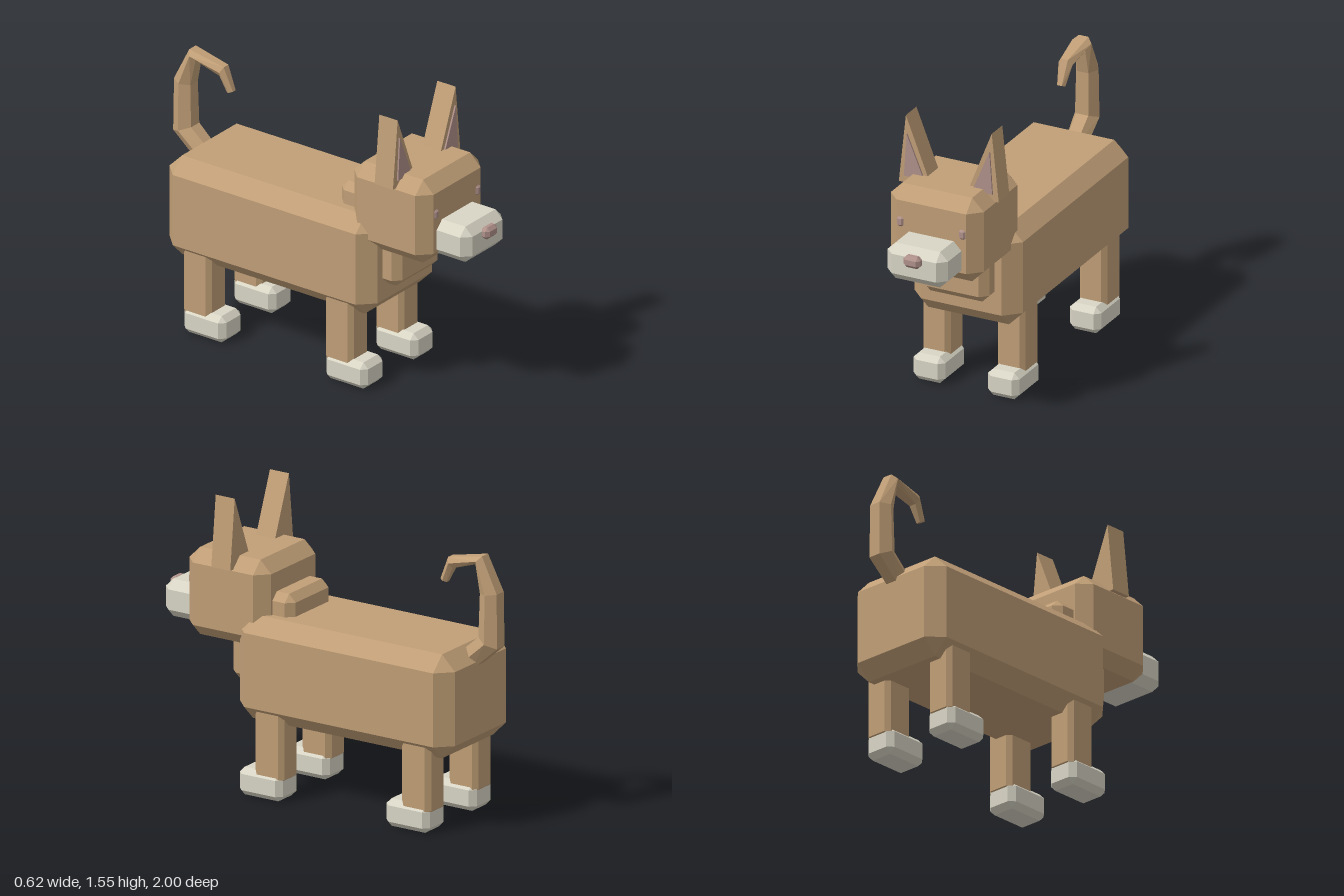
import * as THREE from 'three';
import { ConvexGeometry } from 'three/addons/geometries/ConvexGeometry.js';

const material = (name, color) => {
  const m = new THREE.MeshStandardMaterial({ color });
  m.name = name;
  return m;
};

// Box given by its limits, with every edge and corner cut off by c.
function chamferBox([x0, x1], [y0, y1], [z0, z1], c) {
  const points = [];
  for (const [x, sx] of [[x0, 1], [x1, -1]])
    for (const [y, sy] of [[y0, 1], [y1, -1]])
      for (const [z, sz] of [[z0, 1], [z1, -1]])
        points.push(
          new THREE.Vector3(x, y + sy * c, z + sz * c),
          new THREE.Vector3(x + sx * c, y, z + sz * c),
          new THREE.Vector3(x + sx * c, y + sy * c, z));
  return new ConvexGeometry(points);
}

// Triangular plate in the xy plane, from z0 to z1.
function triangle(corners, z0, z1) {
  const shape = new THREE.Shape(corners.map(([x, y]) => new THREE.Vector2(x, y)));
  return new THREE.ExtrudeGeometry(shape, { depth: z1 - z0, bevelEnabled: false }).translate(0, 0, z0);
}

export function createModel() {
  const fur = material('fur', 0xc19f77);
  const cream = material('cream', 0xd9d6c6);
  const pink = material('pink', 0xb0918a);

  const model = new THREE.Group();
  model.name = 'dog';
  const add = (name, geometry, mat) => {
    const mesh = new THREE.Mesh(geometry, mat);
    mesh.name = name;
    model.add(mesh);
  };

  // Trunk, neck and head
  add('body', chamferBox([-0.31, 0.31], [0.4, 0.955], [-0.875, 0.44], 0.08), fur);
  add('neck', chamferBox([-0.188, 0.188], [0.565, 1.07], [0.155, 0.535], 0.04), fur);
  add('head', chamferBox([-0.265, 0.265], [0.775, 1.24], [0.27, 0.77], 0.066), fur);
  add('muzzle', chamferBox([-0.172, 0.172], [0.812, 1.01], [0.66, 0.962], 0.045), cream);
  add('nose', chamferBox([-0.048, 0.048], [0.92, 0.985], [0.945, 1], 0.018), pink);

  for (const [s, side] of [[1, 'left'], [-1, 'right']]) {
    const mirror = (a, b) => (s > 0 ? [a, b] : [-b, -a]);

    add(side + 'Eye', chamferBox(mirror(0.158, 0.196), [1.03, 1.083], [0.745, 0.78], 0.01), pink);

    // Ears with thin inner plates
    add(side + 'Ear', triangle([[s * 0.285, 1.18], [s * 0.245, 1.555], [s * 0.097, 1.18]], 0.462, 0.578), fur);
    add(side + 'InnerEar', triangle([[s * 0.252, 1.22], [s * 0.236, 1.455], [s * 0.138, 1.22]], 0.578, 0.587), pink);

    // Legs and paws; z is the heel of each paw
    for (const [z, end] of [[0.147, 'Front'], [-0.75, 'Back']]) {
      add(side + end + 'Leg', chamferBox(mirror(0.135, 0.292), [0.095, 0.55], [z - 0.005, z + 0.173], 0.024), fur);
      add(side + end + 'Paw', chamferBox(mirror(0.122, 0.302), [0, 0.147], [z, z + 0.265], 0.03), cream);
    }
  }

  // Curled six-sided tail: outer z, outer y, inner z, inner y, half width
  const rings = [
    [-0.84, 0.825, -0.76, 0.9, 0.062],
    [-0.998, 0.965, -0.885, 1.01, 0.07],
    [-0.995, 1.255, -0.892, 1.243, 0.064],
    [-0.902, 1.442, -0.862, 1.392, 0.055],
    [-0.69, 1.398, -0.717, 1.342, 0.04],
    [-0.638, 1.272, -0.675, 1.258, 0.024],
  ].map(([oz, oy, iz, iy, r]) => [-1, 1].flatMap((s) => [
    new THREE.Vector3(s * r, (oy + iy) / 2, (oz + iz) / 2),
    new THREE.Vector3(s * r / 2, oy, oz),
    new THREE.Vector3(s * r / 2, iy, iz),
  ]));
  for (let i = 0; i < rings.length - 1; i++)
    add('tailSegment' + (i + 1), new ConvexGeometry([...rings[i], ...rings[i + 1]]), fur);

  return model;
}
